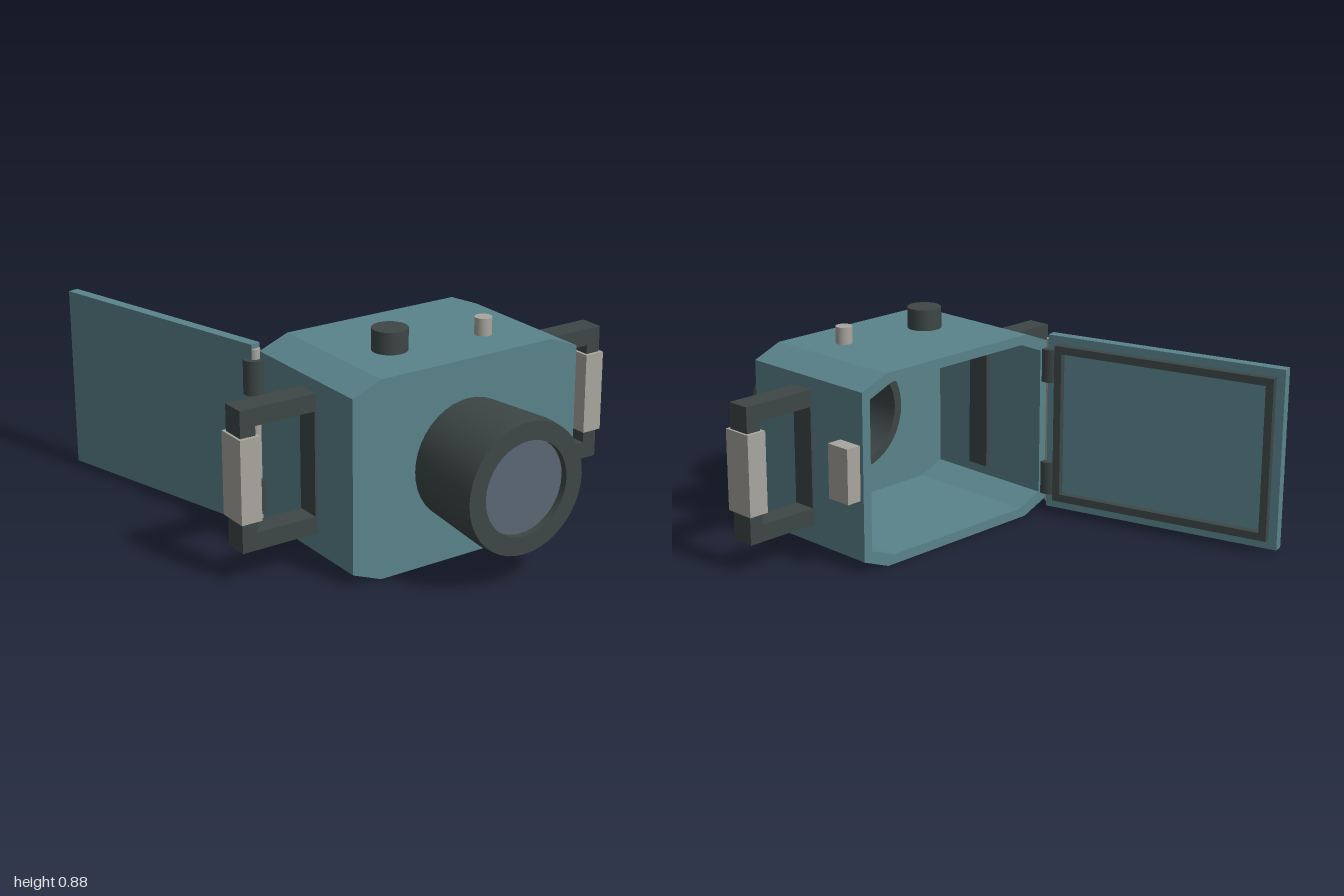
import * as THREE from 'three';
import { toCreasedNormals } from 'three/addons/utils/BufferGeometryUtils.js';

const mat = (name, color, extra = {}) => {
  const m = new THREE.MeshStandardMaterial({ color, ...extra });
  m.name = name;
  return m;
};

export function createModel() {
  const teal = mat('tealShell', 0x5a838b);
  const dark = mat('darkRubber', 0x3d4646);
  const pale = mat('paleGrip', 0xa8a69e);
  const glassMat = mat('lensGlass', 0x5a6774);

  const model = new THREE.Group();
  model.name = 'cameraHousing';

  const add = (parent, name, geometry, material, x = 0, y = 0, z = 0) => {
    const mesh = new THREE.Mesh(geometry, material);
    mesh.name = name;
    mesh.position.set(x, y, z);
    parent.add(mesh);
    return mesh;
  };
  // Box given by its minimum and maximum corners
  const box = (parent, name, material, [x0, y0, z0], [x1, y1, z1]) =>
    add(parent, name, new THREE.BoxGeometry(x1 - x0, y1 - y0, z1 - z0), material,
      (x0 + x1) / 2, (y0 + y1) / 2, (z0 + z1) / 2);
  // Upright cylinder from y0 to y1
  const post = (parent, name, material, r, x, z, y0, y1) =>
    add(parent, name, new THREE.CylinderGeometry(r, r, y1 - y0, 32), material, x, (y0 + y1) / 2, z);
  const extrude = (shape, depth) =>
    new THREE.ExtrudeGeometry(shape, { depth, bevelEnabled: false, curveSegments: 24 });

  // Rectangle with chamfered corners, centred on the origin
  const octagon = (w, h, cx, cy) => [
    [w - cx, -h], [w, -h + cy], [w, h - cy], [w - cx, h],
    [-w + cx, h], [-w, h - cy], [-w, -h + cy], [-w + cx, -h],
  ].map(([x, y]) => new THREE.Vector2(x, y));

  // Hollow shell, open at the back
  const midY = 0.395, W = 0.517, wall = 0.04;
  const outline = octagon(W, midY, 0.125, 0.05);
  const walls = new THREE.Shape(outline);
  walls.holes.push(new THREE.Path(octagon(W - wall, midY - wall, 0.115, 0.046)));
  add(model, 'shellWalls', extrude(walls, 0.59), teal, 0, midY, 0.015);
  const front = new THREE.Shape(outline);
  front.holes.push(new THREE.Path().absarc(0, 0, 0.21, 0, Math.PI * 2, true));
  add(model, 'shellFront', extrude(front, wall), teal, 0, midY, 0.605);

  // Lens port: flared tube with recessed glass
  const profile = [
    [0.2, 0.6], [0.237, 0.6], [0.24, 0.645], [0.263, 0.945], [0.259, 1.0],
    [0.186, 1.0], [0.186, 0.95], [0.2, 0.6],
  ].map(([r, z]) => new THREE.Vector2(r, z));
  const barrel = new THREE.LatheGeometry(profile, 40).rotateX(Math.PI / 2);
  add(model, 'lensBarrel', toCreasedNormals(barrel, 0.5), dark, 0, midY, 0);
  add(model, 'lensGlass', new THREE.CylinderGeometry(0.19, 0.19, 0.02, 40).rotateX(Math.PI / 2),
    glassMat, 0, midY, 0.962);

  // Side handles: square frame with a pale grip
  const frame = new THREE.Shape();
  frame.moveTo(0.46, 0.13).lineTo(0.842, 0.13).lineTo(0.842, 0.69).lineTo(0.46, 0.69).closePath();
  const gap = new THREE.Path();
  gap.moveTo(0.525, 0.2).lineTo(0.525, 0.62).lineTo(0.778, 0.62).lineTo(0.778, 0.2).closePath();
  frame.holes.push(gap);
  for (const [side, angle] of [['left', 0], ['right', Math.PI]]) {
    const handle = new THREE.Group();
    handle.name = side + 'Handle';
    handle.position.z = 0.357;
    handle.rotation.y = angle;
    add(handle, 'handleFrame', extrude(frame, 0.1), dark, 0, 0, -0.05);
    box(handle, 'handleGrip', pale, [0.765, 0.25, -0.065], [0.852, 0.583, 0.065]);
    model.add(handle);
  }

  // Top controls and side latch
  post(model, 'controlKnob', dark, 0.07, -0.18, 0.395, 0.77, 0.877);
  post(model, 'shutterButton', pale, 0.034, 0.215, 0.45, 0.77, 0.86);
  box(model, 'latch', pale, [0.5, 0.3, 0.032], [0.582, 0.525, 0.142]);

  // Hinge
  const hx = -0.53;
  post(model, 'hingePin', pale, 0.022, hx, 0, 0.04, 0.75);
  for (const y of [0.08, 0.57]) post(model, 'hingeKnuckle', dark, 0.046, hx, 0, y, y + 0.14);

  // Back door, swung open, with a raised gasket on its inner face
  const door = new THREE.Group();
  door.name = 'backDoor';
  door.position.x = hx;
  door.rotation.y = THREE.MathUtils.degToRad(105);
  box(door, 'doorPanel', teal, [-0.005, 0.02, -0.022], [1.028, 0.77, 0.022]);
  const gasket = new THREE.Shape();
  gasket.moveTo(0.038, 0.06).lineTo(0.992, 0.06).lineTo(0.992, 0.735).lineTo(0.038, 0.735).closePath();
  const inner = new THREE.Path();
  inner.moveTo(0.07, 0.092).lineTo(0.07, 0.703).lineTo(0.96, 0.703).lineTo(0.96, 0.092).closePath();
  gasket.holes.push(inner);
  add(door, 'doorGasket', extrude(gasket, 0.034), dark, 0, 0, 0.018);
  model.add(door);

  return model;
}
